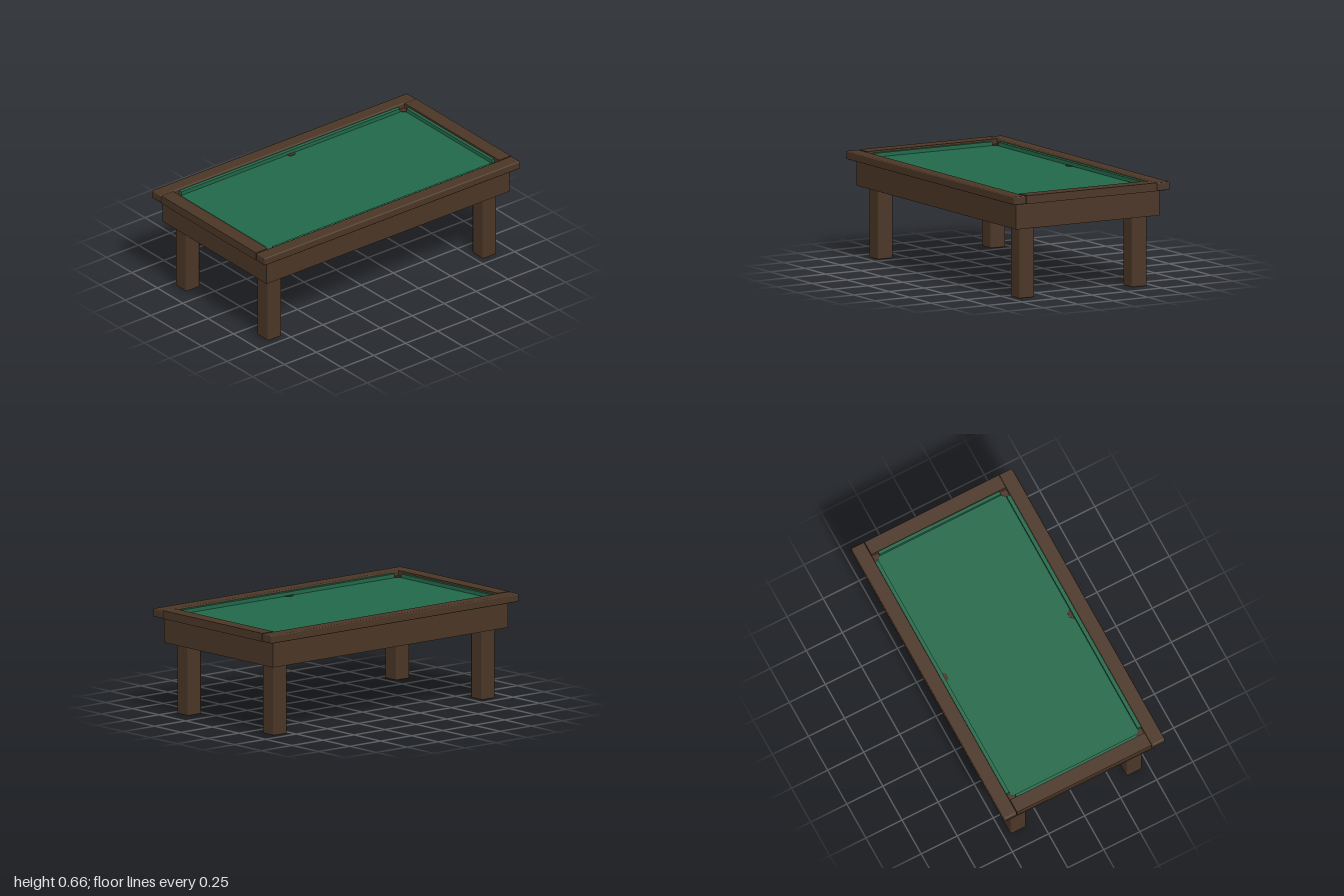
import * as THREE from 'three';
import { RoundedBoxGeometry } from 'three/addons/geometries/RoundedBoxGeometry.js';

export function createModel() {
  const table = new THREE.Group();
  table.name = 'billiardTable';
  const wood = new THREE.MeshStandardMaterial({ name: 'darkWood', color: 0x4a3626 });
  const felt = new THREE.MeshStandardMaterial({ name: 'greenFelt', color: 0x226849 });
  const leather = new THREE.MeshStandardMaterial({ name: 'pocketBrown', color: 0x4a3225 });

  const add = (name, geometry, material, x, y, z) => {
    const mesh = new THREE.Mesh(geometry, material);
    mesh.name = name;
    mesh.position.set(x, y, z);
    table.add(mesh);
    return mesh;
  };
  const box = (w, h, d) => new THREE.BoxGeometry(w, h, d);
  // box with a single chamfer along its edges
  const chamferBox = (w, h, d, r) => new RoundedBoxGeometry(w, h, d, 1, r);

  // body and playing surface
  add('apron', box(1.9, 0.161, 1.024), wood, 0, 0.5245, 0);
  add('playingSurface', box(1.81, 0.016, 0.938), felt, 0, 0.613, 0);

  const legShape = chamferBox(0.108, 0.442, 0.108, 0.01);
  const cornerPocket = new THREE.CylinderGeometry(0.05, 0.05, 0.012, 8);
  cornerPocket.rotateY(Math.PI / 8);
  const sidePocket = new THREE.CylinderGeometry(0.038, 0.038, 0.012, 8);
  sidePocket.rotateY(Math.PI / 8);

  for (const s of [-1, 1]) {
    // wooden rails
    add('longRail', chamferBox(2, 0.052, 0.09, 0.008), wood, 0, 0.631, s * 0.513);
    add('endRail', box(0.092, 0.052, 0.932), wood, s * 0.951, 0.631, 0);

    // felt cushions along the rails, stopping at the corner pockets
    add('longCushion', box(1.71, 0.024, 0.026), felt, 0, 0.633, s * 0.457);
    add('endCushion', box(0.02, 0.024, 0.84), felt, s * 0.895, 0.633, 0);

    // pockets
    add('sidePocket', sidePocket, leather, 0, 0.618, s * 0.455);
    for (const t of [-1, 1]) {
      add('cornerPocket', cornerPocket, leather, s * 0.904, 0.618, t * 0.467);
      add('leg', legShape, wood, s * 0.841, 0.222, t * 0.402);
    }
  }
  return table;
}
